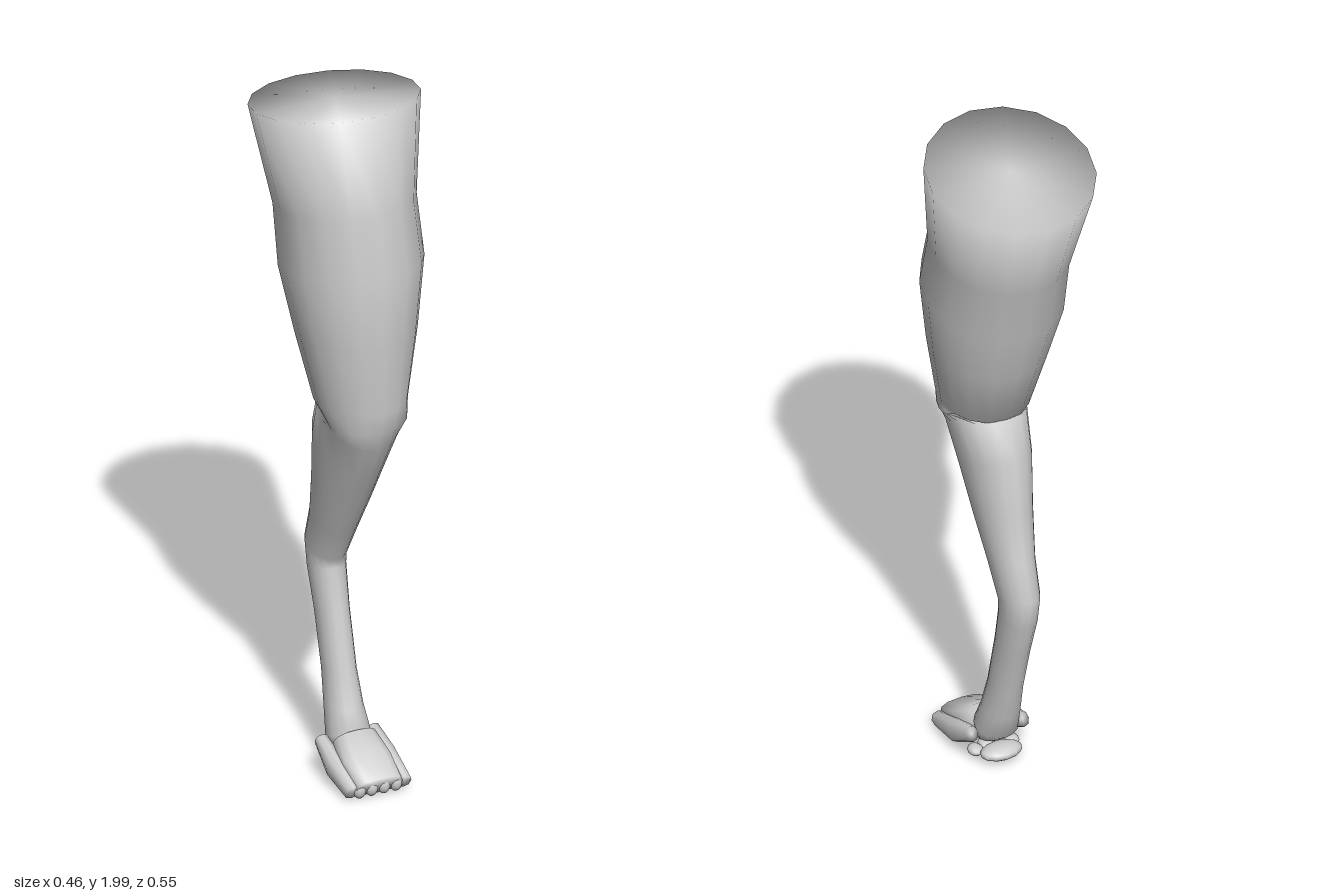
import * as THREE from 'three';

const skinMaterial = new THREE.MeshStandardMaterial({ color: 0xcccccc });
skinMaterial.name = 'light grey';

// Closed skin over tilted rings: [frontZ, frontY, backZ, backY, halfWidth].
// power below 1 makes the cross-section boxier.
function skin(name, rings, sides = 16, power = 1, x0 = 0) {
  const pos = [], index = [];
  const soft = (v) => Math.sign(v) * Math.pow(Math.abs(v), power);
  const centre = ([fz, fy, bz, by]) => [x0, (fy + by) / 2, (fz + bz) / 2];
  for (const ring of rings) {
    const [fz, fy, bz, by, w] = ring;
    const [, cy, cz] = centre(ring);
    for (let i = 0; i < sides; i++) {
      const t = (i / sides) * Math.PI * 2;
      const s = soft(Math.sin(t)) / 2;
      pos.push(x0 + w * soft(Math.cos(t)), cy + s * (fy - by), cz + s * (fz - bz));
    }
  }
  const last = (rings.length - 1) * sides;
  const start = rings.length * sides;
  pos.push(...centre(rings[0]), ...centre(rings[rings.length - 1]));
  for (let i = 0; i < sides; i++) {
    const j = (i + 1) % sides;
    for (let r = 0; r < last; r += sides) {
      index.push(r + i, r + j, r + sides + i, r + j, r + sides + j, r + sides + i);
    }
    index.push(start, j, i, start + 1, last + i, last + j);
  }
  const geo = new THREE.BufferGeometry();
  geo.setAttribute('position', new THREE.Float32BufferAttribute(pos, 3));
  geo.setIndex(index);
  geo.computeVertexNormals();
  const mesh = new THREE.Mesh(geo, skinMaterial);
  mesh.name = name;
  return mesh;
}

function pad(name, x, y, z, rx, ry, rz) {
  const mesh = new THREE.Mesh(new THREE.SphereGeometry(1, 12, 8), skinMaterial);
  mesh.name = name;
  mesh.position.set(x, y, z);
  mesh.scale.set(rx, ry, rz);
  return mesh;
}

export function createModel() {
  const model = new THREE.Group();
  model.name = 'leg';

  // Thigh, folded knee, shin and ankle in one skin
  model.add(skin('limb', [
    [0.195, 2.0, -0.275, 1.91, 0.228],
    [0.23, 1.72, -0.185, 1.65, 0.187],
    [0.275, 1.56, -0.15, 1.48, 0.19],
    [0.27, 1.35, -0.085, 1.31, 0.16],
    [0.26, 1.15, -0.02, 1.13, 0.122],
    [0.247, 1.09, 0.08, 1.09, 0.108],
    [0.23, 1.03, -0.028, 1.14, 0.104],
    [0.17, 0.92, -0.075, 1.03, 0.092],
    [0.1, 0.8, -0.095, 0.87, 0.076],
    [0.03, 0.68, -0.125, 0.73, 0.06],
    [-0.022, 0.59, -0.163, 0.63, 0.053],
    [-0.025, 0.565, -0.15, 0.54, 0.05],
    [0.002, 0.45, -0.112, 0.42, 0.045],
    [0.045, 0.28, -0.07, 0.28, 0.045],
    [0.075, 0.19, -0.045, 0.18, 0.051],
    [0.1, 0.13, -0.015, 0.1, 0.06],
    [0.09, 0.08, 0.02, 0.07, 0.05],
  ]));

  // Foot slab
  model.add(skin('foot', [
    [0.105, 0.147, 0.05, 0.075, 0.06],
    [0.17, 0.107, 0.135, 0.045, 0.073],
    [0.245, 0.066, 0.224, 0.016, 0.068],
  ], 12, 0.75));

  // Side toes and toe tips
  for (const side of [-1, 1]) {
    model.add(skin('sideToe', [
      [0.045, 0.122, 0.025, 0.085, 0.018],
      [0.13, 0.095, 0.11, 0.03, 0.026],
      [0.235, 0.052, 0.22, 0.014, 0.022],
    ], 8, 0.85, side * 0.075));
    for (const x of [0.018, 0.053]) {
      model.add(pad('toeTip', side * x, 0.034, 0.222, 0.018, 0.024, 0.018));
      model.add(pad('toePad', side * x, 0.032, 0.075 - x * 0.3, 0.021, 0.014, 0.025));
    }
  }

  // Main pad behind the toes
  model.add(pad('heelPad', 0, 0.042, 0.012, 0.06, 0.021, 0.038));
  return model;
}
